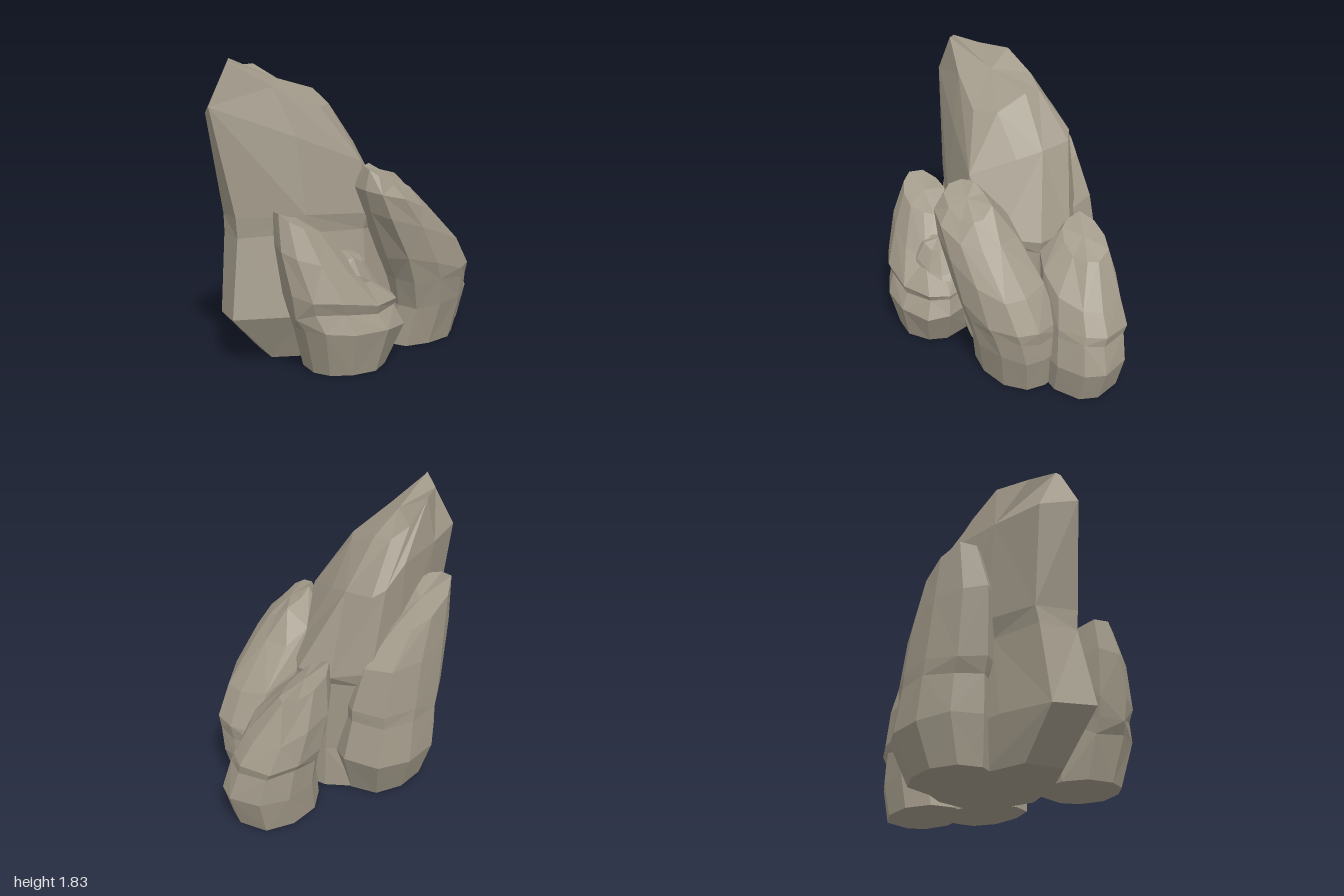
import * as THREE from 'three';

const stone = new THREE.MeshStandardMaterial({ color: 0xa09888, flatShading: true });
stone.name = 'stone';

// Plan outlines, in units of each level's half width and half depth
const taperedPlan = [[-1, .32], [-.9, -.4], [-.35, -.72], [.25, -1], [.65, -1], [.93, -.5], [1, .15], [.72, .7], [.3, 1], [-.35, .78]];
const roundPlan = [[-1, .2], [-.88, -.5], [-.4, -.95], [.25, -1], [.8, -.68], [1, .12], [.82, .62], [.3, 1], [-.35, .95], [-.8, .65]];
const blockyPlan = [[-1, .35], [-.92, -.4], [-.45, -.85], [.15, -1], [.85, -.9], [1, -.2], [.95, .35], [.5, .8], [-.2, 1], [-.8, .85]];

// Each level is [y, centre x, centre z, half width, half depth, slope along x, slope along z],
// or a loop of corners where the section is irregular
function rock(name, plan, levels, seed) {
  let s = seed;
  const wobble = () => {
    s = (s * 16807) % 2147483647;
    return (s / 2147483647 - .5) * 2;
  };
  const n = plan.length;
  const rings = levels.map((level, i) => {
    if (Array.isArray(level[0])) return level;
    const [y, cx, cz, rx, rz, sx = 0, sz = 0] = level;
    return plan.map(([u, v]) => {
      const k = 1 + wobble() * .02;
      const lift = i === 0 ? 0 : wobble() * .02;
      const dx = u * rx * k, dz = v * rz * k;
      return [cx + dx, y + dx * sx + dz * sz + lift, cz + dz];
    });
  });
  const middle = (ring, rise) => [0, 1, 2].map(a =>
    ring.reduce((sum, p) => sum + p[a], 0) / n + (a === 1 ? rise : 0));
  const top = rings[rings.length - 1];
  const low = middle(rings[0], 0), high = middle(top, .015);
  const pos = [];
  const tri = (a, b, c) => pos.push(...a, ...b, ...c);
  for (let j = 0; j < n; j++) {
    const k = (j + 1) % n;
    tri(low, rings[0][j], rings[0][k]);
    tri(high, top[k], top[j]);
    for (let i = 0; i < rings.length - 1; i++) {
      const a = rings[i][j], b = rings[i][k], c = rings[i + 1][j], d = rings[i + 1][k];
      // alternate the diagonals for irregular facets
      if ((i + j) % 2) { tri(a, c, b); tri(b, c, d); }
      else { tri(a, c, d); tri(a, d, b); }
    }
  }
  const geometry = new THREE.BufferGeometry();
  geometry.setAttribute('position', new THREE.Float32BufferAttribute(pos, 3));
  geometry.computeVertexNormals();
  const mesh = new THREE.Mesh(geometry, stone);
  mesh.name = name;
  return mesh;
}

// Irregular shoulder and crown of the tall rock
const shoulder = [[-1, 1.55, -.04], [-.91, 1.5, -.26], [-.58, 1.5, -.36], [-.19, 1.5, -.44], [.0, 1.39, -.45],
  [.07, 1.35, -.4], [.08, 1.33, -.2], [.03, 1.29, -.04], [-.1, 1.2, .23], [-.5, 1.36, .12]];
const crown = [[-.86, 1.81, -.06], [-.84, 1.83, -.08], [-.75, 1.78, -.22], [-.54, 1.79, -.32], [-.32, 1.68, -.36],
  [-.18, 1.63, -.33], [-.16, 1.63, -.22], [-.17, 1.54, -.02], [-.3, 1.53, .08], [-.6, 1.66, .02]];

export function createModel() {
  const group = new THREE.Group();
  group.name = 'rockCluster';

  // Tall central rock leaning to one side
  group.add(rock('mainRock', taperedPlan, [
    [0, -.17, -.05, .49, .33],
    [.28, -.31, -.03, .63, .37],
    [.77, -.28, -.08, .59, .33],
    [.87, -.27, -.09, .6, .36, -.05],
    shoulder,
    crown,
  ], 11));

  // Lower rock behind
  group.add(rock('backRock', roundPlan, [
    [0, -.12, -.38, .31, .21],
    [.28, -.09, -.42, .38, .27],
    [.54, -.13, -.42, .35, .245],
    [.62, -.15, -.42, .37, .25],
    [.97, -.21, -.44, .36, .21, -.25],
    [1.23, -.29, -.49, .25, .14, -.5],
  ], 23));

  // Side rock
  group.add(rock('leftRock', roundPlan, [
    [0, .63, -.12, .3, .22],
    [.23, .68, -.12, .32, .24],
    [.4, .64, -.14, .3, .23],
    [.48, .63, -.16, .31, .24, -.1],
    [.68, .56, -.18, .29, .22, -.35],
    [.9, .5, -.25, .17, .12, -.4, -.3],
  ], 37));

  // Front rock with a long sloping back
  group.add(rock('frontLeftRock', blockyPlan, [
    [0, .38, .17, .27, .22],
    [.26, .43, .21, .28, .23],
    [.42, .4, .24, .3, .24, -.1],
    [.53, .36, .26, .34, .25, -.2],
    [.78, .23, .28, .35, .24, -.35],
    [.98, .08, .3, .25, .21, -.3, -.1],
    [1.1, .03, .32, .16, .11, -.45, -.5],
  ], 53));

  // Squat front rock with a shallow groove near its foot
  group.add(rock('frontRightRock', roundPlan, [
    [0, -.35, .4, .25, .23],
    [.26, -.33, .43, .35, .26],
    [.36, -.37, .41, .35, .22],
    [.43, -.38, .41, .37, .24, -.12],
    [.64, -.5, .36, .28, .19, -.4, -.1],
    [.87, -.59, .31, .17, .13, -.45, -.2],
  ], 71));

  // Small knob on the squat rock
  group.add(rock('knobRock', blockyPlan, [
    [.4, -.24, .4, .2, .15, -.1],
    [.55, -.28, .39, .16, .13, -.35],
    [.66, -.3, .37, .1, .09, -.1, -.2],
  ], 97));

  return group;
}
